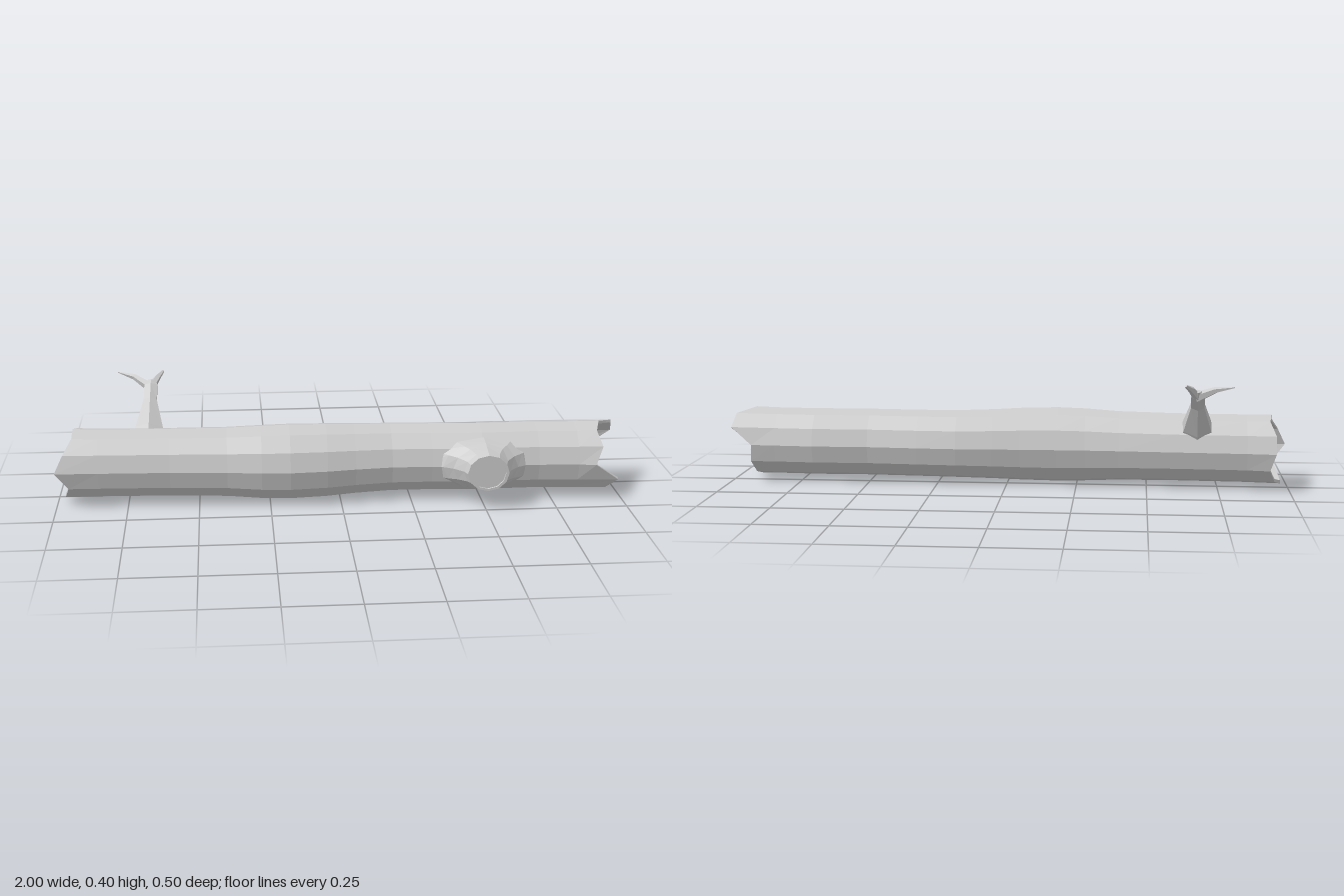
import * as THREE from 'three';

const V = (x, y, z) => new THREE.Vector3(x, y, z);
const UP = V(0, 1, 0);

// Ring of n points around c, square to direction d; hu is the upward half size, hv the sideways one.
// shift(i) slides a point along d.
function ring(c, d, hu, hv, n, shift = () => 0) {
  const dir = d.clone().normalize();
  const u = UP.clone().addScaledVector(dir, -UP.dot(dir)).normalize();
  const v = u.clone().cross(dir);
  return Array.from({ length: n }, (_, i) => {
    const a = (i / n) * Math.PI * 2;
    return c.clone()
      .addScaledVector(u, Math.cos(a) * hu)
      .addScaledVector(v, Math.sin(a) * hv)
      .addScaledVector(dir, shift(i));
  });
}

// Skin over successive rings, closed by a fan at either end.
function loft(rings, capStart, capEnd) {
  const pos = [];
  const tri = (...ps) => ps.forEach((p) => pos.push(p.x, p.y, p.z));
  const n = rings[0].length;
  for (let k = 0; k < rings.length - 1; k++) {
    for (let i = 0; i < n; i++) {
      const j = (i + 1) % n;
      const a = rings[k][i], b = rings[k + 1][i], c = rings[k + 1][j], d = rings[k][j];
      tri(a, b, c);
      tri(a, c, d);
    }
  }
  const fan = (r, flip) => {
    for (let i = 1; i < n - 1; i++) flip ? tri(r[0], r[i + 1], r[i]) : tri(r[0], r[i], r[i + 1]);
  };
  if (capStart) fan(rings[0], false);
  if (capEnd) fan(rings[rings.length - 1], true);
  const g = new THREE.BufferGeometry();
  g.setAttribute('position', new THREE.Float32BufferAttribute(pos, 3));
  g.computeVertexNormals();
  return g;
}

export function createModel() {
  const group = new THREE.Group();
  group.name = 'fallenLog';
  const wood = new THREE.MeshStandardMaterial({ color: 0xcccccc, flatShading: true, side: THREE.DoubleSide });
  wood.name = 'paleGreyWood';
  const add = (name, geometry) => {
    const m = new THREE.Mesh(geometry, wood);
    m.name = name;
    group.add(m);
  };

  // Trunk: wavering tube with splintered hollow ends (end x per side, from the top round by the back)
  const X = V(1, 0, 0), SIDES = 12, CY = 0.135;
  const rightEnd = [-0.94, -0.93, -0.95, -0.95, -0.93, -0.95, -0.975, -0.97, -0.955, -1, -0.97, -0.94];
  const leftEnd = [0.93, 0.99, 1, 0.925, 0.93, 0.92, 0.91, 0.95, 0.985, 0.9, 0.925, 0.91];
  const section = (x, z, r) => ring(V(x, CY, z), X, r, r, SIDES);
  const jagged = (ends, z, r) => ring(V(0, CY, z), X, r, r, SIDES, (i) => ends[i]);
  const body = [
    [-0.85, 0.025, 0.122], [-0.6, 0.035, 0.122], [-0.4, 0.047, 0.125], [-0.28, 0.058, 0.132],
    [-0.18, 0.06, 0.135], [-0.05, 0.055, 0.132], [0.05, 0.046, 0.127], [0.18, 0.038, 0.123],
    [0.32, 0.043, 0.122], [0.5, 0.055, 0.122], [0.7, 0.051, 0.122], [0.84, 0.06, 0.122],
  ];
  add('trunk', loft([
    section(-0.91, 0.02, 0.112),
    jagged(rightEnd, 0.018, 0.113),
    jagged(rightEnd, 0.018, 0.124),
    ...body.map((b) => section(...b)),
    jagged(leftEnd, 0.067, 0.124),
    jagged(leftEnd, 0.067, 0.113),
    section(0.85, 0.06, 0.113),
  ], true, true));

  // Sawn limb stub flaring into the front of the trunk
  const stub = [
    [0.13, 0.2, 0.093], [0.17, 0.15, 0.086], [0.19, 0.115, 0.08], [0.225, 0.082, 0.072],
    [0.25, 0.073, 0.065], [0.25, 0.062, 0.057], [0.243, 0.062, 0.057],
  ];
  add('limbStub', loft(stub.map(([z, hx, hy]) => ring(V(0.505, CY, z), V(0, 0, 1), hy, hx, 12)), false, true));

  // Thin branch rising from the back
  const D = V(0, 0.66, -0.75);
  add('branch', loft([
    ring(V(-0.675, 0.19, -0.02), D, 0.052, 0.066, 6),
    ring(V(-0.675, 0.225, -0.055), D, 0.047, 0.056, 6),
    ring(V(-0.672, 0.31, -0.138), D, 0.022, 0.027, 6),
    ring(V(-0.67, 0.352, -0.188), D, 0.018, 0.027, 6),
    ring(V(-0.668, 0.368, -0.207), D, 0.007, 0.014, 6),
  ], false, true));

  // Forked twig tips
  const twig = (name, points, sizes) => {
    const d = points[2].clone().sub(points[0]);
    add(name, loft(points.map((p, i) => ring(p, d, sizes[i], sizes[i], 5)), true, true));
  };
  twig('rightTwig', [V(-0.668, 0.345, -0.183), V(-0.73, 0.376, -0.226), V(-0.79, 0.388, -0.25)], [0.019, 0.011, 0.002]);
  twig('leftTwig', [V(-0.672, 0.342, -0.18), V(-0.647, 0.374, -0.216), V(-0.626, 0.391, -0.246)], [0.018, 0.012, 0.005]);

  return group;
}
